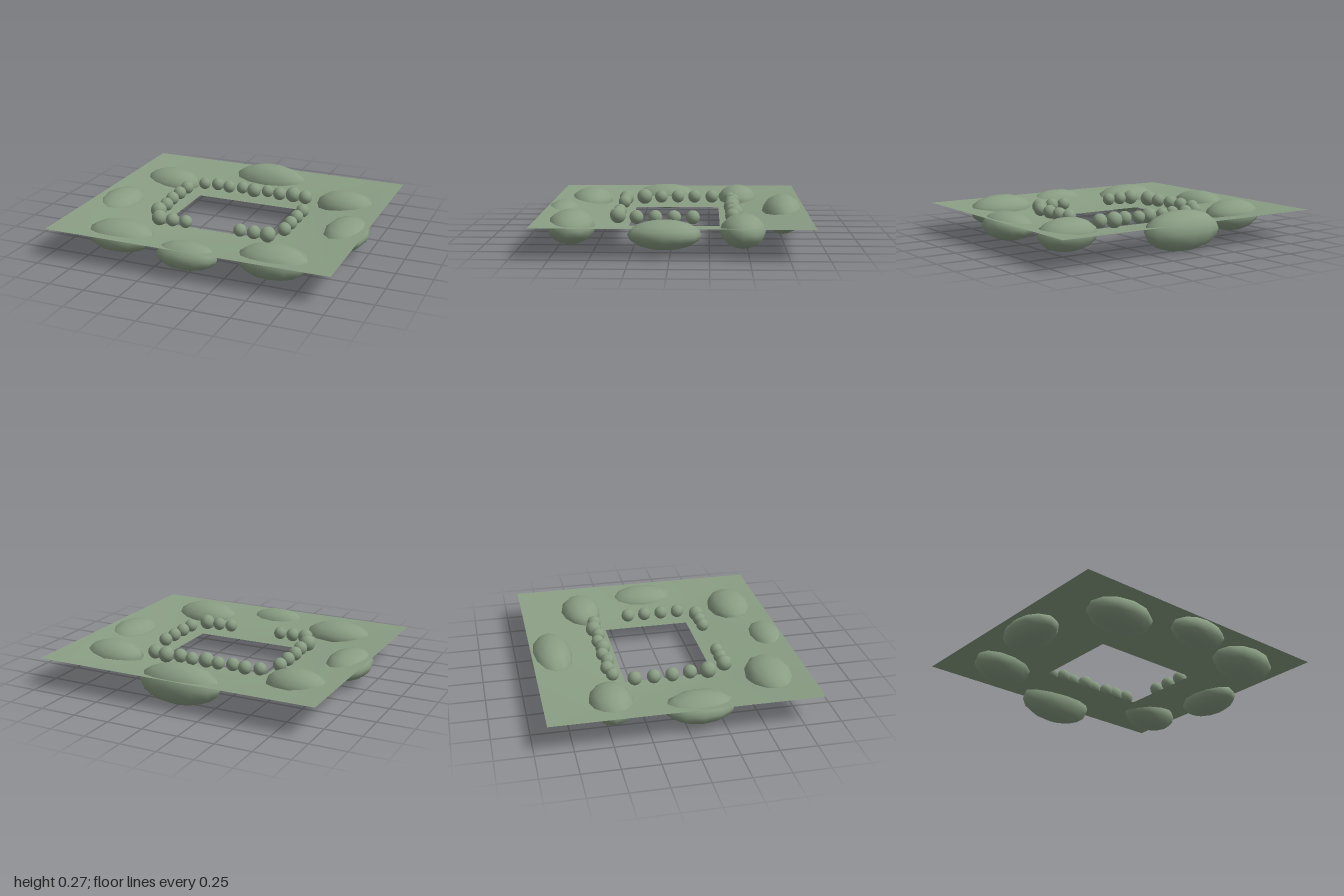
import * as THREE from 'three';

export function createModel() {
  const group = new THREE.Group();
  const mossGreen = new THREE.MeshStandardMaterial({ color: 0x8a9e84, side: THREE.DoubleSide });
  mossGreen.name = 'mossGreen';

  // Square sheet dipping towards a rectangular opening: rings of [half width, back z, front z, y]
  const rings = [
    [1, -0.91, 0.88, 0.203],
    [0.48, -0.4, 0.39, 0.125],
    [0.4, -0.32, 0.29, 0.12],
  ];
  const positions = [];
  const indices = [];
  for (const [w, back, front, y] of rings) {
    positions.push(-w, y, back, -w, y, front, w, y, front, w, y, back);
  }
  for (let r = 0; r < rings.length - 1; r++) {
    for (let i = 0; i < 4; i++) {
      const a = r * 4 + i, b = r * 4 + (i + 1) % 4;
      indices.push(a, b, b + 4, a, b + 4, a + 4);
    }
  }
  const sheet = new THREE.BufferGeometry();
  sheet.setAttribute('position', new THREE.Float32BufferAttribute(positions, 3));
  sheet.setIndex(indices);
  sheet.computeVertexNormals();
  const ground = new THREE.Mesh(sheet, mossGreen);
  ground.name = 'groundSheet';
  group.add(ground);

  const ball = new THREE.SphereGeometry(1, 12, 8);
  function addStone(parent, name, x, y, z, rx, ry, rz) {
    const stone = new THREE.Mesh(ball, mossGreen);
    stone.name = name;
    stone.position.set(x, y, z);
    stone.scale.set(rx, ry, rz);
    parent.add(stone);
  }

  // Large flattened boulders: x, z, then radii
  const boulders = new THREE.Group();
  boulders.name = 'boulders';
  [
    [0, -0.765, 0.29, 0.135, 0.147],
    [-0.69, -0.465, 0.215, 0.11, 0.148],
    [0.69, -0.465, 0.215, 0.11, 0.148],
    [-0.845, 0.085, 0.153, 0.095, 0.235],
    [0.845, 0.035, 0.153, 0.095, 0.235],
    [-0.55, 0.64, 0.245, 0.105, 0.16],
    [0.55, 0.66, 0.245, 0.112, 0.16],
    [0, 0.785, 0.215, 0.092, 0.122],
  ].forEach(([x, z, rx, ry, rz]) => addStone(boulders, 'boulder', x, 0.14, z, rx, ry, rz));
  group.add(boulders);

  // Small round pebbles edging the opening
  const pebbles = new THREE.Group();
  pebbles.name = 'pebbles';
  const addPebble = (x, z, r) => addStone(pebbles, 'pebble', x, 0.19, z, r, r, r);
  const backRadii = [0.044, 0.047, 0.046, 0.045, 0.053, 0.045, 0.048, 0.056, 0.05];
  backRadii.forEach((r, i) => addPebble(-0.4 + i * 0.1, i % 2 ? -0.425 : -0.405, r));
  [-0.27, -0.14, -0.015, 0.11, 0.235].forEach((z, i) => {
    addPebble(i > 2 ? -0.47 : -0.484, z, i === 4 ? 0.057 : 0.048);
    if (i > 0) addPebble(0.47, z, 0.047);
  });
  [[0.4, 0.054], [0.3, 0.047], [0.2, 0.045]].forEach(([x, r]) => {
    addPebble(x, 0.365, r);
    addPebble(-x, 0.365, r);
  });
  group.add(pebbles);

  return group;
}
